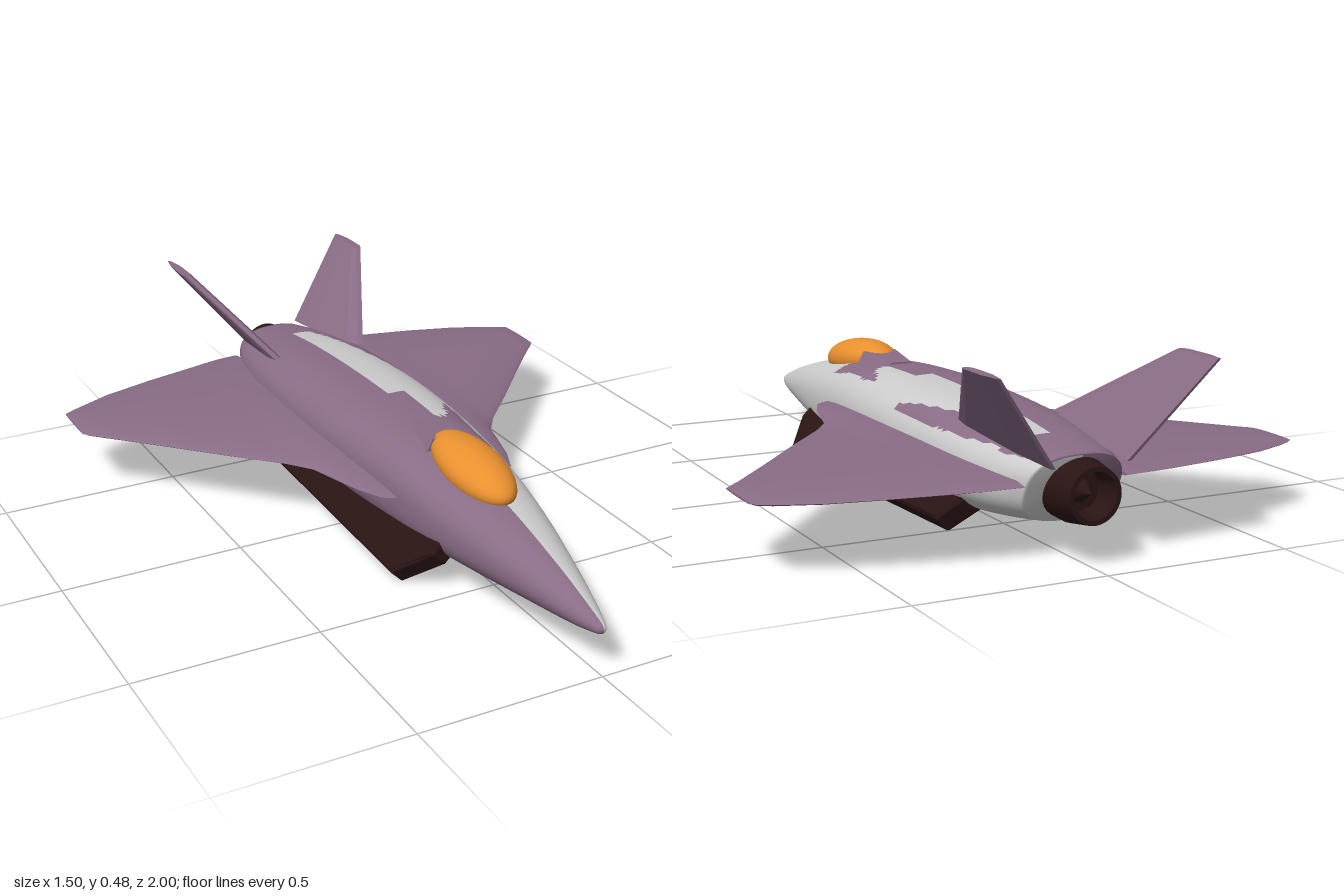
import * as THREE from 'three';
import { toCreasedNormals } from 'three/addons/utils/BufferGeometryUtils.js';

const mat = (color) => new THREE.MeshStandardMaterial({ color, side: THREE.DoubleSide });
const grey = mat(0xcccccc);
const purple = mat(0x896c85);
const dark = mat(0x2a1414);
const orange = mat(0xe8902f);
const V = (x, y, z) => new THREE.Vector3(x, y, z);
const { lerp, smoothstep } = THREE.MathUtils;

// Closed skin through rings of equal point count, capped at both ends, wound outwards
function loft(rings) {
  const n = rings[0].length, pts = rings.flat(), index = [];
  for (let i = 0; i < rings.length - 1; i++) {
    for (let j = 0; j < n; j++) {
      const a = i * n + j, b = i * n + (j + 1) % n;
      index.push(a, b, b + n, a, b + n, a + n);
    }
  }
  [0, rings.length - 1].forEach((r, end) => {
    const c = pts.length;
    pts.push(rings[r].reduce((s, p) => s.add(p), V(0, 0, 0)).divideScalar(n));
    for (let j = 0; j < n; j++) {
      const a = r * n + j, b = r * n + (j + 1) % n;
      index.push(c, ...(end ? [a, b] : [b, a]));
    }
  });
  let volume = 0;
  for (let i = 0; i < index.length; i += 3) {
    volume += pts[index[i]].dot(V(0, 0, 0).crossVectors(pts[index[i + 1]], pts[index[i + 2]]));
  }
  if (volume < 0) index.reverse();
  const g = new THREE.BufferGeometry().setFromPoints(pts);
  g.setIndex(index);
  g.computeVertexNormals();
  return g;
}

function add(parent, name, geometry, material) {
  const mesh = new THREE.Mesh(geometry, material);
  mesh.name = name;
  parent.add(mesh);
  return mesh;
}

// Paint scheme: right half purple, left half grey with purple patches on top
function isPurple(p) {
  if (p.x < 0) return true;
  if (p.y < 0.2) return false;
  if (p.z < -0.72) return p.y > 0.255;
  if (p.z < -0.22) return p.y > 0.265 && p.x > lerp(0.06, 0.165, (p.z + 0.72) / 0.5);
  if (p.z > -0.09 && p.z < 0.1) {
    return p.x < 0.045 || (p.x > 0.13 - p.z * 0.5 && p.x < 0.135 && p.z > 0);
  }
  return p.z >= 0.1 && p.z < 0.3 && p.y > 0.27 && p.x < 0.125;
}

function buildFuselage(parent) {
  // z, half width, top, bottom
  const stations = [
    [0.995, 0.004, 0.134, 0.126], [0.985, 0.014, 0.144, 0.116], [0.95, 0.027, 0.157, 0.108],
    [0.9, 0.042, 0.174, 0.1], [0.8, 0.068, 0.205, 0.09], [0.6, 0.114, 0.255, 0.075],
    [0.4, 0.15, 0.288, 0.064], [0.2, 0.172, 0.315, 0.056], [0, 0.189, 0.325, 0.05],
    [-0.2, 0.198, 0.325, 0.05], [-0.4, 0.197, 0.318, 0.056], [-0.6, 0.187, 0.304, 0.064],
    [-0.78, 0.16, 0.281, 0.078], [-0.88, 0.128, 0.266, 0.09],
  ];
  const spline = (f) => new THREE.CatmullRomCurve3(stations.map(f), false, 'catmullrom', 0.5);
  const shape = spline((s) => V(s[1], s[2], s[3]));
  const along = spline((s) => V(s[0], 0, 0));
  const rings = [], steps = 117, sides = 72;
  for (let i = 0; i <= steps; i++) {
    const { x: w, y: top, z: bot } = shape.getPoint(i / steps);
    const z = along.getPoint(i / steps).x;
    const n = lerp(2, 2.6, smoothstep(-z, -0.9, -0.2));
    const mid = (top + bot) / 2, slant = 0.08 * smoothstep(-z, 0.5, 0.88);
    rings.push(Array.from({ length: sides }, (_, j) => {
      const a = (j / sides) * Math.PI * 2, c = Math.cos(a), s = Math.sin(a);
      const x = w * Math.sign(c) * Math.abs(c) ** (2 / n);
      const y = mid + (top - bot) / 2 * Math.sign(s) * Math.abs(s) ** (2 / n);
      return V(x, y, z + slant * (top - y) / (top - bot));
    }));
  }
  const skin = loft(rings), pos = skin.attributes.position, idx = skin.index.array;
  const split = [[], []], p = V(0, 0, 0), q = V(0, 0, 0);
  for (let i = 0; i < idx.length; i += 3) {
    p.set(0, 0, 0);
    for (let k = 0; k < 3; k++) p.addScaledVector(q.fromBufferAttribute(pos, idx[i + k]), 1 / 3);
    split[isPurple(p) ? 1 : 0].push(idx[i], idx[i + 1], idx[i + 2]);
  }
  [['fuselageGrey', grey], ['fuselagePurple', purple]].forEach(([name, m], i) => {
    const g = skin.clone();
    g.setIndex(split[i]);
    add(parent, name, g, m);
  });
}

function wing(side) {
  // x, leading z, trailing z, mid height, rise, drop
  const spans = [
    [0.14, 0.29, -0.855, 0.197, 0.03, 0.027], [0.2, 0.25, -0.85, 0.197, 0.029, 0.027],
    [0.235, 0.17, -0.845, 0.196, 0.028, 0.026], [0.258, 0.09, -0.84, 0.196, 0.027, 0.026],
    [0.28, 0.01, -0.835, 0.195, 0.026, 0.025], [0.33, -0.06, -0.825, 0.194, 0.025, 0.024],
    [0.45, -0.19, -0.8, 0.192, 0.022, 0.022], [0.6, -0.36, -0.76, 0.189, 0.017, 0.019],
    [0.7, -0.47, -0.715, 0.187, 0.013, 0.016], [0.735, -0.505, -0.697, 0.187, 0.01, 0.012],
    [0.752, -0.525, -0.685, 0.188, 0.003, 0.003],
  ];
  return toCreasedNormals(loft(spans.map(([x, front, back, y, rise, drop]) =>
    Array.from({ length: 32 }, (_, j) => {
      const a = (j / 32) * Math.PI * 2, s = Math.sin(a);
      const h = (s > 0 ? rise : drop) * s * Math.abs(s) ** 0.3;
      return V(side * x, y + h, (front + back) / 2 + (front - back) / 2 * Math.cos(a));
    }))), 0.7);
}

function tailFin(side) {
  // x, height at front, height at back, front z, back z, half thickness
  const ends = [[0.137, 0.297, 0.25, -0.53, -0.92, 0.018], [0.29, 0.49, 0.49, -0.84, -1, 0.014]];
  const section = [[0, 0.5], [0.12, 1], [0.65, 1], [1, 0.3], [1, -0.3], [0.65, -1], [0.12, -1], [0, -0.5]];
  return toCreasedNormals(loft(ends.map(([x, y0, y1, z0, z1, t]) =>
    section.map(([u, k]) => {
      const y = lerp(y0, y1, u);
      return V(side * (x + (y - y0) * 0.75 + t * k), y, lerp(z0, z1, u));
    }))), 0.1);
}

// Slab along the belly, splayed 45 degrees outwards
function bellyPod(side) {
  const outline = [[0.46, -0.02], [0.46, 0.025], [0.37, 0.132], [-0.55, 0.11], [-0.61, 0.01], [-0.61, -0.02]];
  const rings = [[-0.03, 0.006], [-0.022, 0], [0.022, 0], [0.03, 0.006]].map(([t, inset]) =>
    outline.map(([z, d]) => {
      const dd = d - (d > 0.05 ? inset : 0), r = Math.SQRT1_2;
      return V(side * (0.124 + (dd + t) * r), 0.117 + (t - dd) * r, z - Math.sign(z) * inset);
    }));
  return toCreasedNormals(loft(rings), 0.3);
}

export function createModel() {
  const model = new THREE.Group();
  model.name = 'jet';
  buildFuselage(model);

  for (const side of [1, -1]) {
    const label = side > 0 ? 'left' : 'right';
    add(model, label + 'Wing', wing(side), purple);
    add(model, label + 'TailFin', tailFin(side), purple);
    add(model, label + 'BellyPod', bellyPod(side), dark);
  }

  // Cockpit glass, nose end tilted down
  const canopy = add(model, 'canopy', new THREE.SphereGeometry(1, 40, 28), orange);
  canopy.scale.set(0.08, 0.058, 0.176);
  canopy.position.set(0, 0.296, 0.385);
  canopy.rotation.x = 0.13;

  // Faceted fairing behind the cockpit
  const fairing = [[0.26, 0.05, 0.074, 0.337], [0.11, 0.03, 0.055, 0.326]].map(([z, top, base, y]) =>
    [V(top, y, z), V(-top, y, z), V(-base, 0.29, z), V(base, 0.29, z)]);
  add(model, 'canopyFairing', toCreasedNormals(loft(fairing), 0.3), purple);

  // Hollow exhaust nozzle with a centre cone
  const profile = [[0.08, 0.78], [0.083, 0.86], [0.07, 0.94], [0.058, 0.94], [0.05, 0.87], [0, 0.87]];
  const nozzle = new THREE.LatheGeometry(profile.map(([r, z]) => new THREE.Vector2(r, z)), 32);
  nozzle.rotateX(-Math.PI / 2);
  add(model, 'exhaustNozzle', toCreasedNormals(nozzle, 0.4), dark).position.y = 0.18;
  const cone = new THREE.ConeGeometry(0.03, 0.05, 20);
  cone.rotateX(-Math.PI / 2);
  add(model, 'exhaustCone', cone, dark).position.set(0, 0.18, -0.895);

  return model;
}
